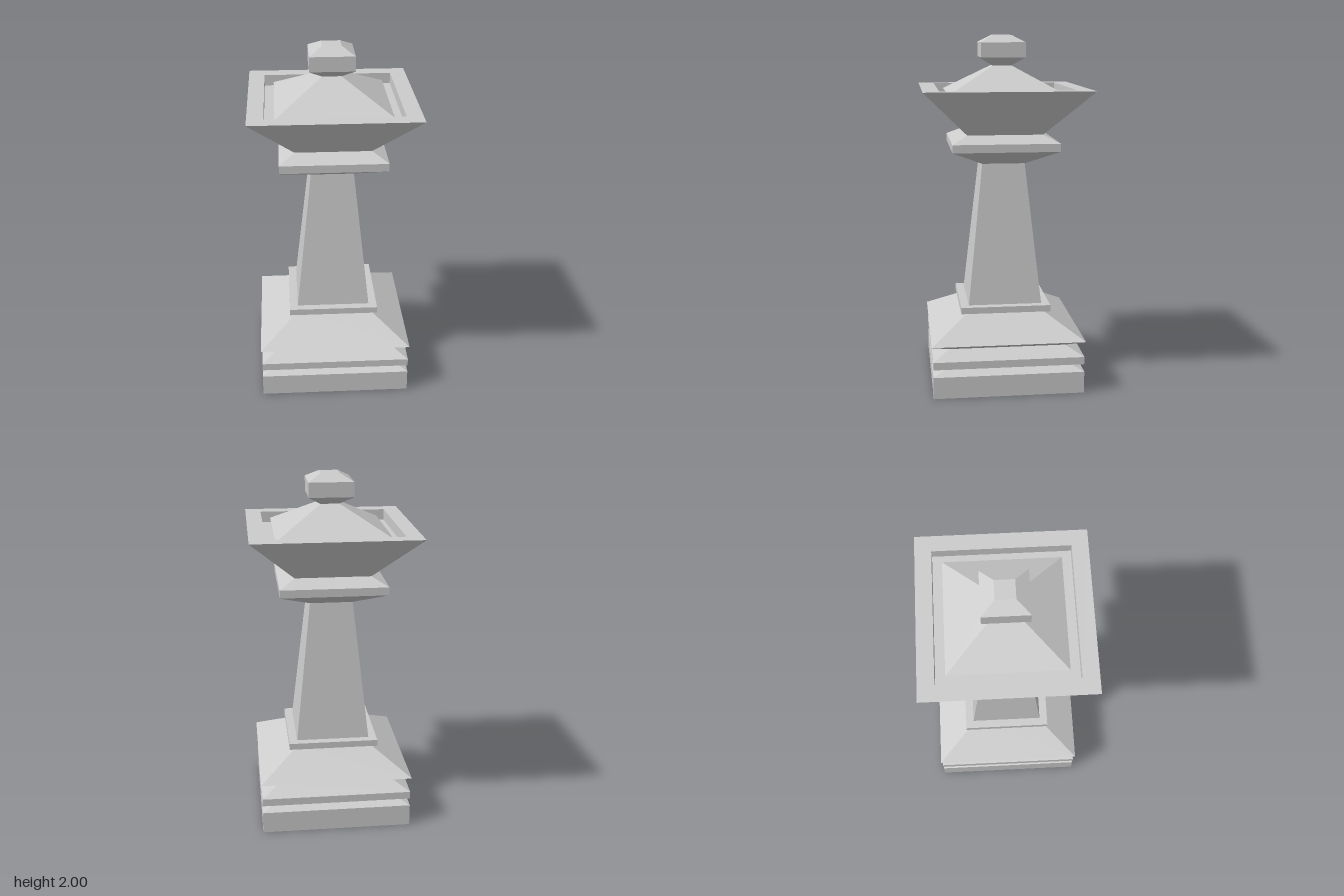
import * as THREE from 'three';

const material = new THREE.MeshStandardMaterial({ color: 0xcccccc, flatShading: true });

// Square turning: profile of [half width, height] from bottom to top, swept over four sides
function squarePart(name, profile) {
  const points = profile.map(([w, y]) => new THREE.Vector2(w * Math.SQRT2, y));
  const mesh = new THREE.Mesh(new THREE.LatheGeometry(points, 4, Math.PI / 4), material);
  mesh.name = name;
  return mesh;
}

export function createModel() {
  const model = new THREE.Group();
  model.name = 'chessQueen';
  model.add(
    // Stepped foot
    squarePart('plinth', [[0, 0], [0.427, 0], [0.427, 0.125], [0.34, 0.156]]),
    squarePart('footBand', [[0.34, 0.156], [0.427, 0.17], [0.427, 0.213], [0.333, 0.257]]),
    squarePart('footSkirt', [[0.333, 0.257], [0.433, 0.303], [0.21, 0.435]]),
    squarePart('shaftRing', [[0.21, 0.435], [0.257, 0.435], [0.257, 0.472], [0.21, 0.472]]),
    // Tapered body
    squarePart('shaft', [[0.21, 0.472], [0.122, 1.28]]),
    squarePart('collar', [[0.122, 1.28], [0.3, 1.366], [0.3, 1.411], [0.213, 1.453]]),
    // Flared crown with a sunken channel behind its rim
    squarePart('crown', [[0.213, 1.453], [0.462, 1.708], [0.372, 1.708], [0.372, 1.645], [0.28, 1.645]]),
    squarePart('crownRoof', [[0.28, 1.645], [0.318, 1.682], [0.053, 1.83]]),
    squarePart('finial', [[0.053, 1.83], [0.125, 1.877], [0.125, 1.96], [0.053, 2], [0, 2]]),
  );
  return model;
}
